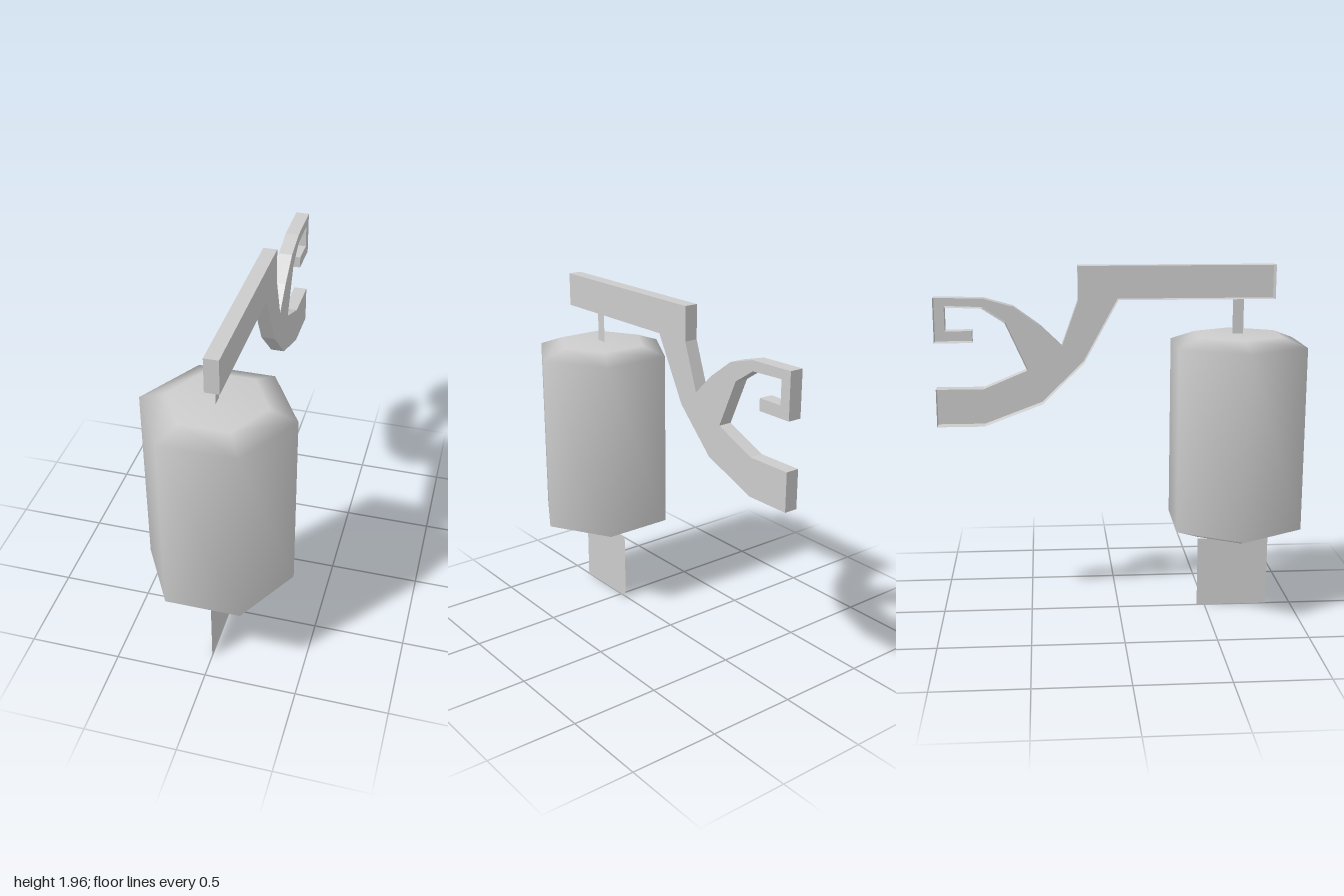
import * as THREE from 'three';

const material = new THREE.MeshStandardMaterial({ color: 0xcccccc, side: THREE.DoubleSide });

function addMesh(group, name, geometry, x, y, z) {
  const mesh = new THREE.Mesh(geometry, material);
  mesh.name = name;
  mesh.position.set(x, y, z);
  group.add(mesh);
  return mesh;
}

// Flat sheet in the x = 0 plane, spanning z0..z1 and y0..y1
function addSheet(group, name, z0, z1, y0, y1) {
  const sheet = addMesh(group, name, new THREE.PlaneGeometry(z1 - z0, y1 - y0),
    0, (y0 + y1) / 2, (z0 + z1) / 2);
  sheet.rotation.y = Math.PI / 2;
}

// Bracket outline as [z, y]: arm, neck, upper scroll, lower foot
const BRACKET = [
  [0.86, 1.775], [0.86, 1.96], [-0.22, 1.96], [-0.22, 1.775], [-0.31, 1.525],
  [-0.43, 1.64], [-0.575, 1.745], [-0.735, 1.79], [-1, 1.795], [-1, 1.55],
  [-0.795, 1.55], [-0.795, 1.615], [-0.94, 1.615], [-0.94, 1.743], [-0.74, 1.735],
  [-0.617, 1.655], [-0.5, 1.395], [-0.74, 1.295], [-1, 1.295], [-1, 1.085],
  [-0.74, 1.085], [-0.42, 1.205], [-0.19, 1.43], [0, 1.775],
];

function bracketGeometry() {
  const shape = new THREE.Shape(BRACKET.map(([z, y]) => new THREE.Vector2(-z, y)));
  const solid = new THREE.ExtrudeGeometry(shape, { depth: 0.075, bevelEnabled: false });
  // The inner side is open: drop the first lid (n - 2 triangles)
  const positions = solid.attributes.position.array.slice((BRACKET.length - 2) * 9);
  const geometry = new THREE.BufferGeometry();
  geometry.setAttribute('position', new THREE.BufferAttribute(positions, 3));
  geometry.computeVertexNormals();
  return geometry;
}

export function createModel() {
  const group = new THREE.Group();
  group.name = 'hangingLantern';

  // Wall bracket, extruded towards +x
  addMesh(group, 'bracket', bracketGeometry(), 0, 0, 0).rotation.y = Math.PI / 2;

  // Six-sided lantern body with smooth shading
  const profile = [[0, 0.46], [0.26, 0.462], [0.4, 0.515], [0.4, 1.535], [0.26, 1.585], [0, 1.587]]
    .map(([r, y]) => new THREE.Vector2(r, y));
  addMesh(group, 'lanternBody', new THREE.LatheGeometry(profile, 6, Math.PI / 2), 0, 0, 0.655);

  // Hanging strap and the paper strip below
  addSheet(group, 'strap', 0.625, 0.685, 1.585, 1.775);
  addSheet(group, 'paperStrip', 0.455, 0.86, 0, 0.405);

  return group;
}
